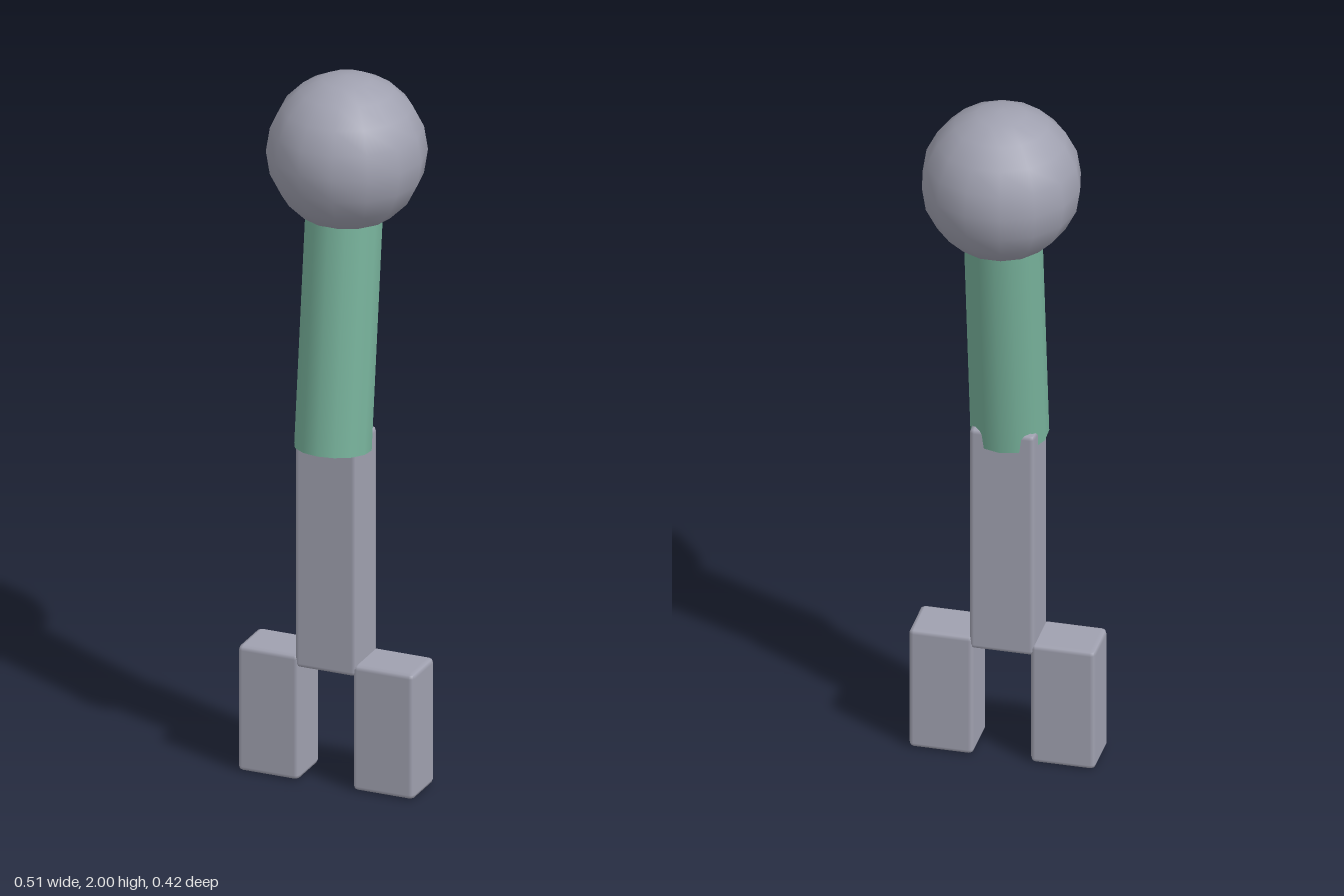
import * as THREE from 'three';
import { RoundedBoxGeometry } from 'three/addons/geometries/RoundedBoxGeometry.js';

export function createModel() {
  const model = new THREE.Group();
  model.name = 'key';

  const grey = new THREE.MeshStandardMaterial({ color: 0xa0a1b0 });
  grey.name = 'grey metal';
  const green = new THREE.MeshStandardMaterial({ color: 0x78b39c });
  green.name = 'green grip';

  const add = (name, geometry, material, x, y, z) => {
    const mesh = new THREE.Mesh(geometry, material);
    mesh.name = name;
    mesh.position.set(x, y, z);
    model.add(mesh);
    return mesh;
  };
  // Box with a single narrow bevel, placed by its lower and upper y
  const bar = (name, width, y0, y1, x) =>
    add(name, new RoundedBoxGeometry(width, y1 - y0, 0.143, 1, 0.014), grey, x, (y0 + y1) / 2, 0.072);

  // Round knob
  add('knob', new THREE.SphereGeometry(0.216, 14, 10), grey, 0, 1.784, 0);

  // Leaning grip between the shaft and the knob
  const grip = add('grip', new THREE.CylinderGeometry(0.105, 0.105, 0.64, 14), green, 0, 1.28, 0.056);
  grip.rotation.x = -0.113;

  // Flat shaft, its top tucked into the grip
  bar('shaft', 0.18, 0.327, 1.005, 0);

  // Two prongs, one on each side of the shaft
  for (const side of [-1, 1]) {
    bar(side > 0 ? 'leftProng' : 'rightProng', 0.178, 0, 0.363, side * 0.167);
  }
  return model;
}
